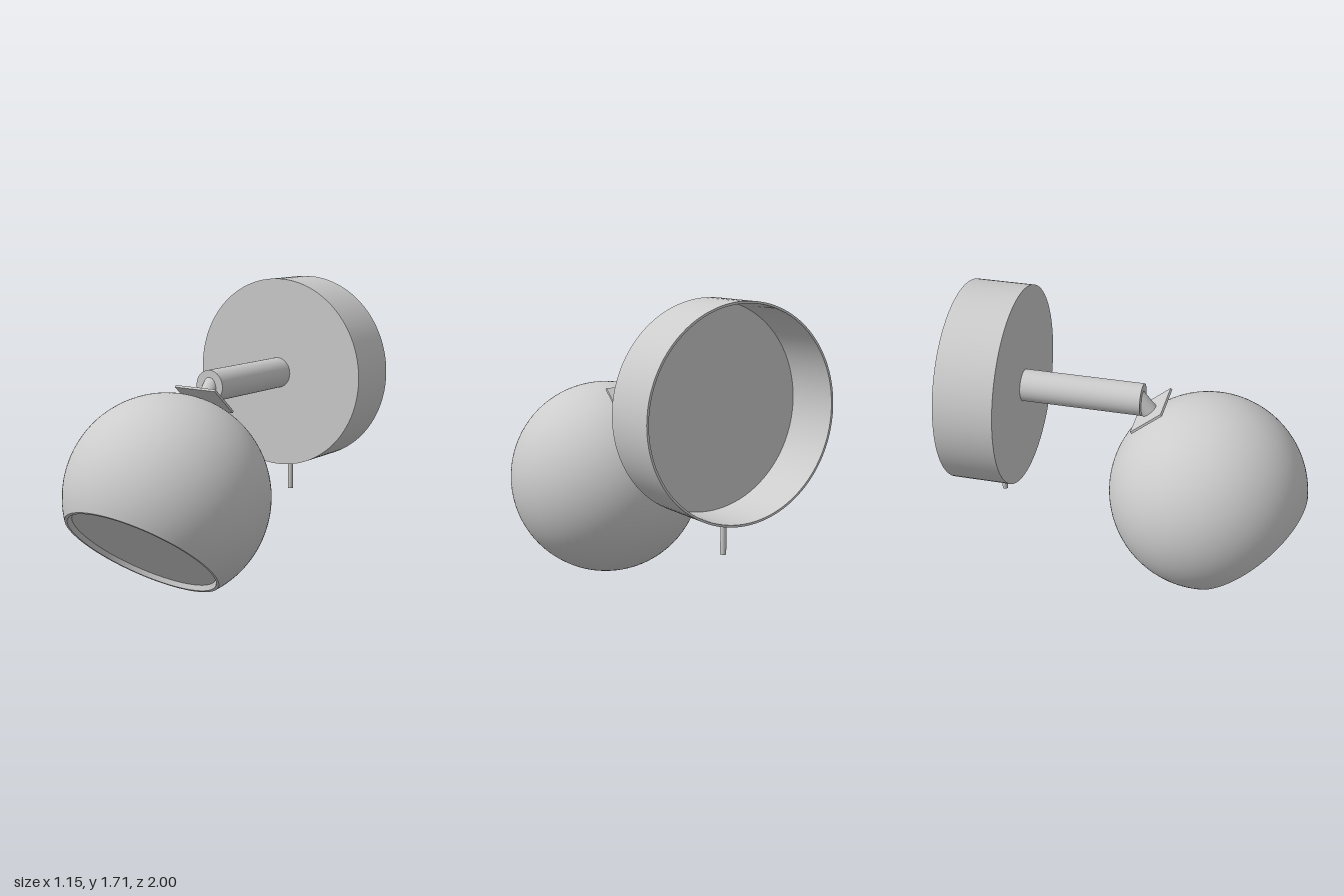
import * as THREE from 'three';
import { toCreasedNormals } from 'three/addons/utils/BufferGeometryUtils.js';

const grey = new THREE.MeshStandardMaterial({ color: 0xcccccc });
grey.name = 'light grey metal';

const TILT = -0.696; // lean of the lamp head and its joint

function part(name, geometry, x, y, z, tilt = 0) {
  const mesh = new THREE.Mesh(geometry, grey);
  mesh.name = name;
  mesh.position.set(x, y, z);
  mesh.rotation.x = tilt;
  return mesh;
}

// Turned solid with sharp edges kept; profile runs counter-clockwise
function turned(points, segments = 96) {
  const profile = points.map(([r, y]) => new THREE.Vector2(r, y));
  return toCreasedNormals(new THREE.LatheGeometry(profile, segments), 0.5);
}

export function createModel() {
  const lamp = new THREE.Group();
  lamp.name = 'wallLamp';

  // Wall canopy: shallow drum, open at the back
  const wall = 0.012, R = 0.573, depth = 0.335;
  lamp.add(part('wallCanopy', turned([
    [0, depth - wall], [R - wall, depth - wall], [R - wall, 0],
    [R, 0], [R, depth], [0, depth],
  ]), 0, 1.14, -1, Math.PI / 2));

  // Pull switch below the canopy
  lamp.add(part('switchRod', new THREE.CylinderGeometry(0.016, 0.016, 0.19, 24), 0, 0.475, -0.83));

  // Horizontal arm
  lamp.add(part('arm', new THREE.CylinderGeometry(0.092, 0.092, 0.695, 48), 0, 1.14, -0.3175, Math.PI / 2));

  // Joint: square-edged plate and short pivot, perpendicular to each other
  const joint = new THREE.Group();
  joint.name = 'joint';
  joint.position.set(0, 1.072, 0.078);
  joint.rotation.x = TILT;
  joint.add(part('jointPlate', new THREE.BoxGeometry(0.28, 0.014, 0.226), 0, 0, 0));
  joint.add(part('pivot', new THREE.CylinderGeometry(0.048, 0.048, 0.12, 32), 0, 0.06, -0.008));
  lamp.add(joint);

  // Spherical shade: recessed disc, lip, then the globe from the cut to the pole
  const radius = 0.577, cutR = 0.456;
  const cutY = -Math.sqrt(radius * radius - cutR * cutR);
  const start = Math.atan2(cutY, cutR);
  const profile = [[0, cutY + 0.027], [0.425, cutY + 0.027], [0.44, cutY]];
  const steps = 48;
  for (let i = 0; i <= steps; i++) {
    const a = start + (Math.PI / 2 - start) * (i / steps);
    profile.push([Math.max(0, radius * Math.cos(a)), radius * Math.sin(a)]);
  }
  lamp.add(part('shade', turned(profile), 0, 0.57, 0.421, TILT));

  return lamp;
}
